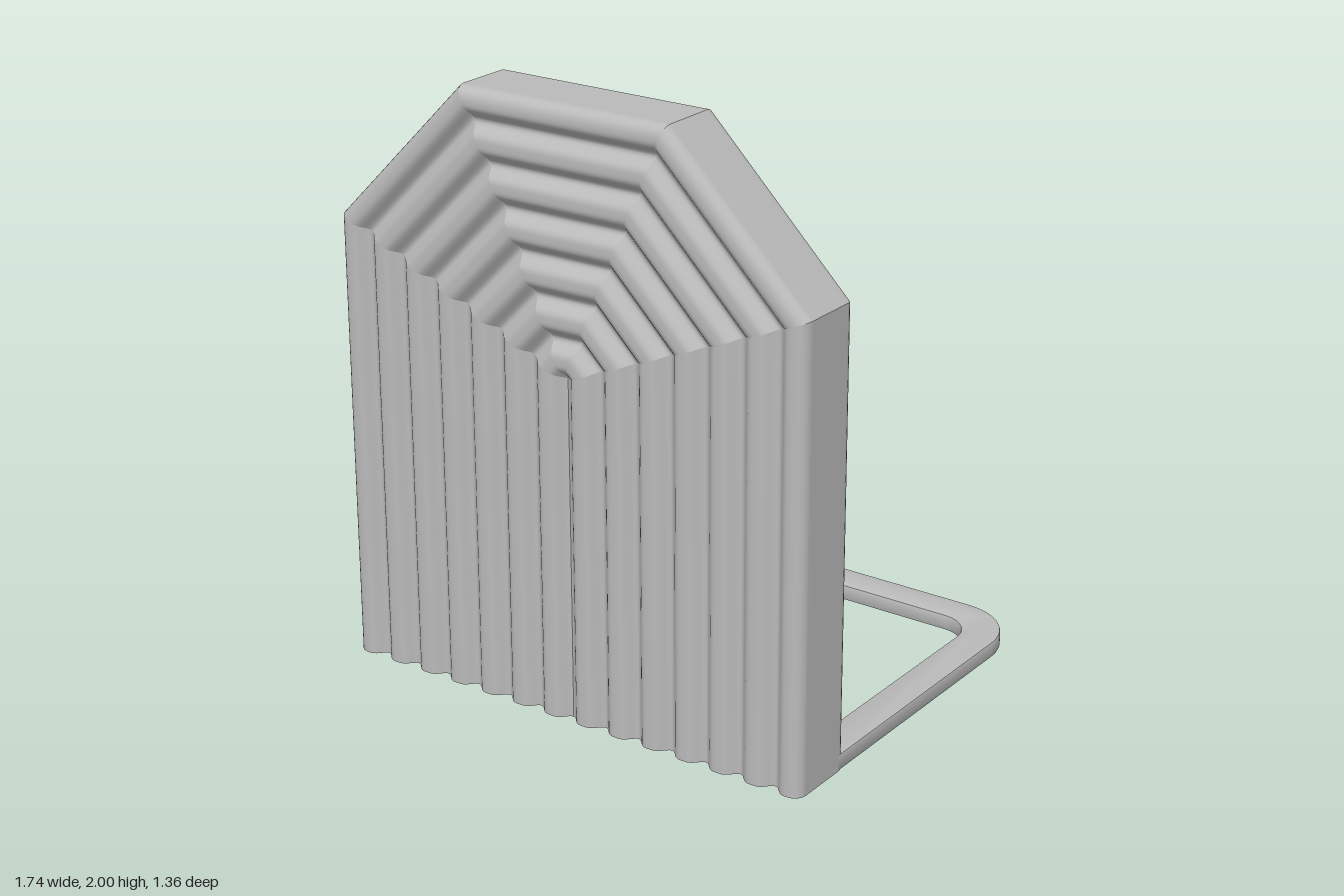
import * as THREE from 'three';
import { toCreasedNormals } from 'three/addons/utils/BufferGeometryUtils.js';

const HALF = 0.87, DEPTH = 0.13, PITCH = 0.1275, DIP = 0.035, ROUND = 0.04, APEX = 1.14;

// Half section of the panel: [distance from centre line, z], front centre to back centre
function ribProfile() {
  const front = [];
  const flatEnd = HALF - ROUND, steps = 104;
  for (let i = 0; i < steps; i++) {
    const r = (flatEnd * i) / steps;
    front.push([r, DEPTH - DIP * Math.cos((Math.PI * r) / PITCH) ** 4]);
  }
  for (let i = 0; i <= 6; i++) {
    const a = (Math.PI / 2) * (i / 6);
    front.push([flatEnd + ROUND * Math.sin(a), DEPTH - ROUND + ROUND * Math.cos(a)]);
  }
  return front.concat(front.map(([r, z]) => [r, -z]).reverse());
}

// One straight run of nested ribs between two mitre lines
function ribStrip(profile, from, to) {
  const pos = [], index = [];
  const place = ([x, y], r, z) => {
    const s = r / HALF;
    pos.push(x * s, y === 0 ? 0 : APEX + (y - APEX) * s, z);
  };
  profile.forEach(([r, z], j) => {
    place(from, r, z);
    place(to, r, z);
    if (j > 0) {
      const a = 2 * (j - 1);
      index.push(a, a + 1, a + 3, a, a + 3, a + 2);
    }
  });
  const g = new THREE.BufferGeometry();
  g.setAttribute('position', new THREE.Float32BufferAttribute(pos, 3));
  g.setIndex(index);
  g.computeVertexNormals();
  return g;
}

// Rectangle with separate corner radii for the low-y and high-y ends
function roundedRect(path, x, y0, y1, rLow, rHigh) {
  const q = Math.PI / 2;
  path.moveTo(-x + rLow, y0);
  path.lineTo(x - rLow, y0);
  if (rLow) path.absarc(x - rLow, y0 + rLow, rLow, -q, 0);
  path.lineTo(x, y1 - rHigh);
  path.absarc(x - rHigh, y1 - rHigh, rHigh, 0, q);
  path.lineTo(-x + rHigh, y1);
  path.absarc(-x + rHigh, y1 - rHigh, rHigh, q, 2 * q);
  path.lineTo(-x, y0 + rLow);
  if (rLow) path.absarc(-x + rLow, y0 + rLow, rLow, 2 * q, 3 * q);
  return path;
}

export function createModel() {
  const grey = new THREE.MeshStandardMaterial({ color: 0xbababa });
  grey.name = 'grey';
  const model = new THREE.Group();
  model.name = 'bookend';

  // Upright panel: five runs of ribs following the arch outline
  const panel = new THREE.Group();
  panel.name = 'ribbedPanel';
  panel.position.z = 0.55;
  const outline = [[-HALF, 0], [-HALF, 1.51], [-0.38, 2], [0.38, 2], [HALF, 1.51], [HALF, 0]];
  const names = ['rightRibs', 'upperRightRibs', 'topRibs', 'upperLeftRibs', 'leftRibs'];
  const profile = ribProfile();
  names.forEach((name, i) => {
    const mesh = new THREE.Mesh(ribStrip(profile, outline[i], outline[i + 1]), grey);
    mesh.name = name;
    panel.add(mesh);
  });

  // Underside of the panel
  const mirrored = profile.slice(1, -1).map(([r, z]) => [-r, z]).reverse();
  const section = new THREE.Shape(profile.concat(mirrored).map(([x, z]) => new THREE.Vector2(x, z)));
  const underside = new THREE.Mesh(new THREE.ShapeGeometry(section).rotateX(Math.PI / 2), grey);
  underside.name = 'panelUnderside';
  panel.add(underside);
  model.add(panel);

  // Flat base frame with a rounded opening
  const bevel = 0.007, height = 0.055;
  const plate = roundedRect(new THREE.Shape(), HALF - bevel, -0.46 + bevel, 0.68 - bevel, 0, 0.2);
  plate.holes.push(roundedRect(new THREE.Path(), 0.75 + bevel, -0.37 - bevel, 0.56 + bevel, 0.12, 0.12));
  const frame = new THREE.ExtrudeGeometry(plate, {
    depth: height - 2 * bevel, bevelEnabled: true, bevelSize: bevel,
    bevelThickness: bevel, bevelSegments: 2, curveSegments: 12,
  });
  frame.rotateX(-Math.PI / 2).translate(0, bevel, 0);
  const base = new THREE.Mesh(toCreasedNormals(frame, 0.6), grey);
  base.name = 'baseFrame';
  model.add(base);

  return model;
}
